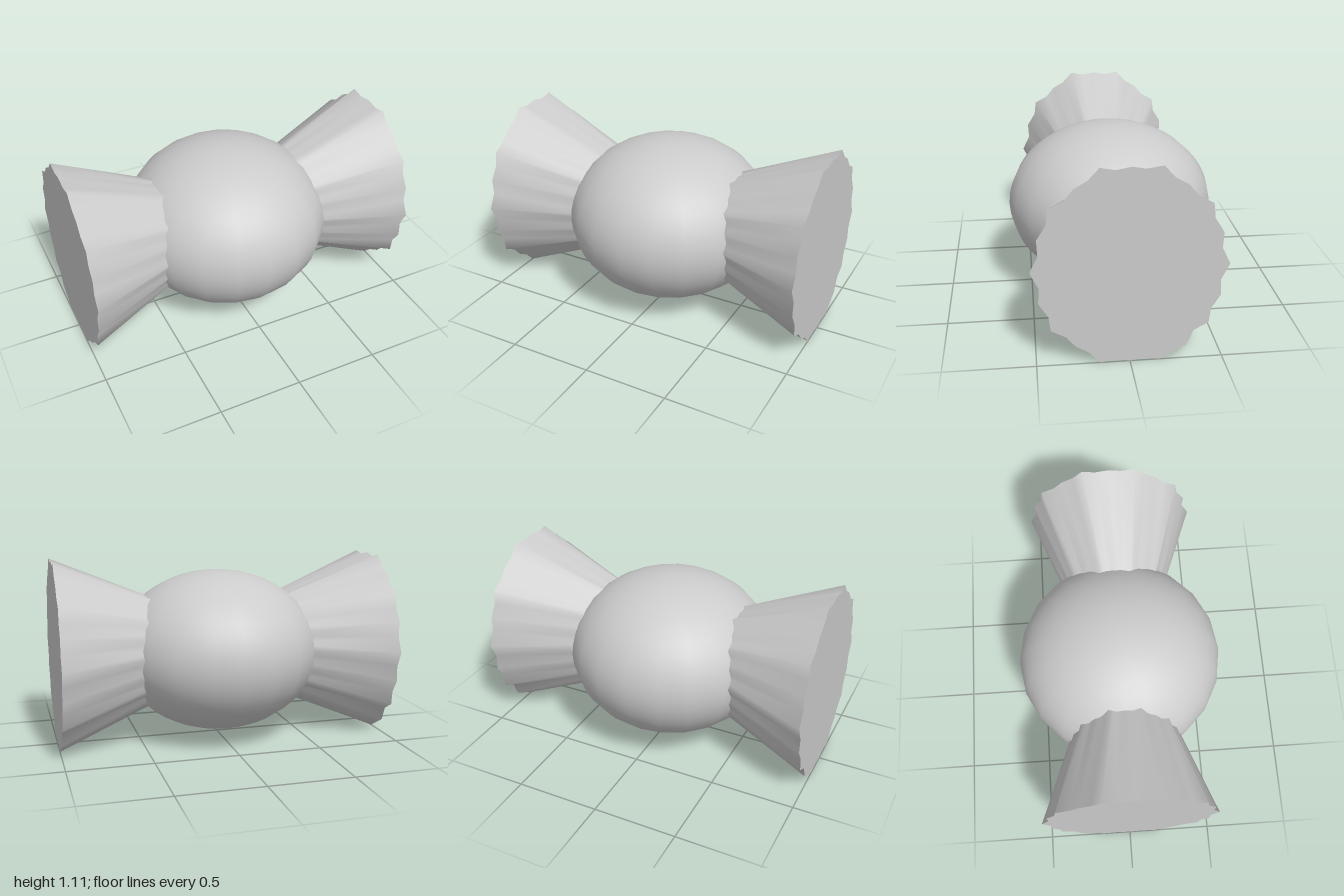
import * as THREE from 'three';

// One quarter of the pleated rim, as [z, y] offsets from its centre
const QUARTER = [
  [0, 0.553], [0.08, 0.538], [0.16, 0.553], [0.22, 0.488], [0.29, 0.447], [0.34, 0.387],
  [0.42, 0.343], [0.43, 0.26], [0.48, 0.18], [0.476, 0.09], [0.52, 0],
];
const RIM_Y = 0.557;

// Mirror the quarter into a full closed rim: top, front, bottom, back
function rimOutline() {
  const half = [...QUARTER, ...QUARTER.slice(0, -1).reverse().map(([z, y]) => [z, -y])];
  const back = half.slice(1, -1).reverse().map(([z, y]) => [-z, y]);
  // One pleat at the lower back is pressed flat
  back[2] = [-0.232, -0.513];
  back[3] = [-0.305, -0.472];
  return [...half, ...back];
}

// Flared wrapper end: pleated side wall plus flat caps, on side s = +1 or -1
function createWing(s, material) {
  const rim = rimOutline();
  const n = rim.length;
  const rings = [[0.3, 0.485], [1, 1]]; // x position, scale of the rim
  const positions = [];
  const index = [];
  const face = (a, b, c) => (s > 0 ? index.push(a, b, c) : index.push(a, c, b));
  const addRing = ([x, k]) => rim.forEach(([z, y]) => positions.push(s * x, RIM_Y + y * k, z * k));

  // Side wall with smooth normals
  rings.forEach(addRing);
  for (let i = 0; i < n; i++) {
    const j = (i + 1) % n;
    face(i, i + n, j);
    face(j, i + n, j + n);
  }
  // Caps have their own vertices so the rim stays sharp
  rings.forEach((ring, r) => {
    const start = positions.length / 3;
    addRing(ring);
    const centre = positions.length / 3;
    positions.push(s * ring[0], RIM_Y, 0);
    for (let i = 0; i < n; i++) {
      const a = start + i;
      const b = start + ((i + 1) % n);
      if (r === 1) face(centre, b, a);
      else face(centre, a, b);
    }
  });

  const geometry = new THREE.BufferGeometry();
  geometry.setAttribute('position', new THREE.Float32BufferAttribute(positions, 3));
  geometry.setIndex(index);
  geometry.computeVertexNormals();
  const wing = new THREE.Mesh(geometry, material);
  wing.name = s > 0 ? 'leftWrapperEnd' : 'rightWrapperEnd';
  return wing;
}

export function createModel() {
  const group = new THREE.Group();
  group.name = 'wrappedSweet';
  const material = new THREE.MeshStandardMaterial({ color: 0xcccccc, side: THREE.DoubleSide });

  // Flattened round centre
  const body = new THREE.SphereGeometry(0.62, 20, 24);
  body.rotateY(Math.PI / 2);
  body.scale(1, 0.49 / 0.62, 1);
  const centre = new THREE.Mesh(body, material);
  centre.name = 'roundCentre';
  centre.position.y = 0.54;
  group.add(centre);

  // Twisted wrapper ends
  for (const s of [1, -1]) group.add(createWing(s, material));
  return group;
}
